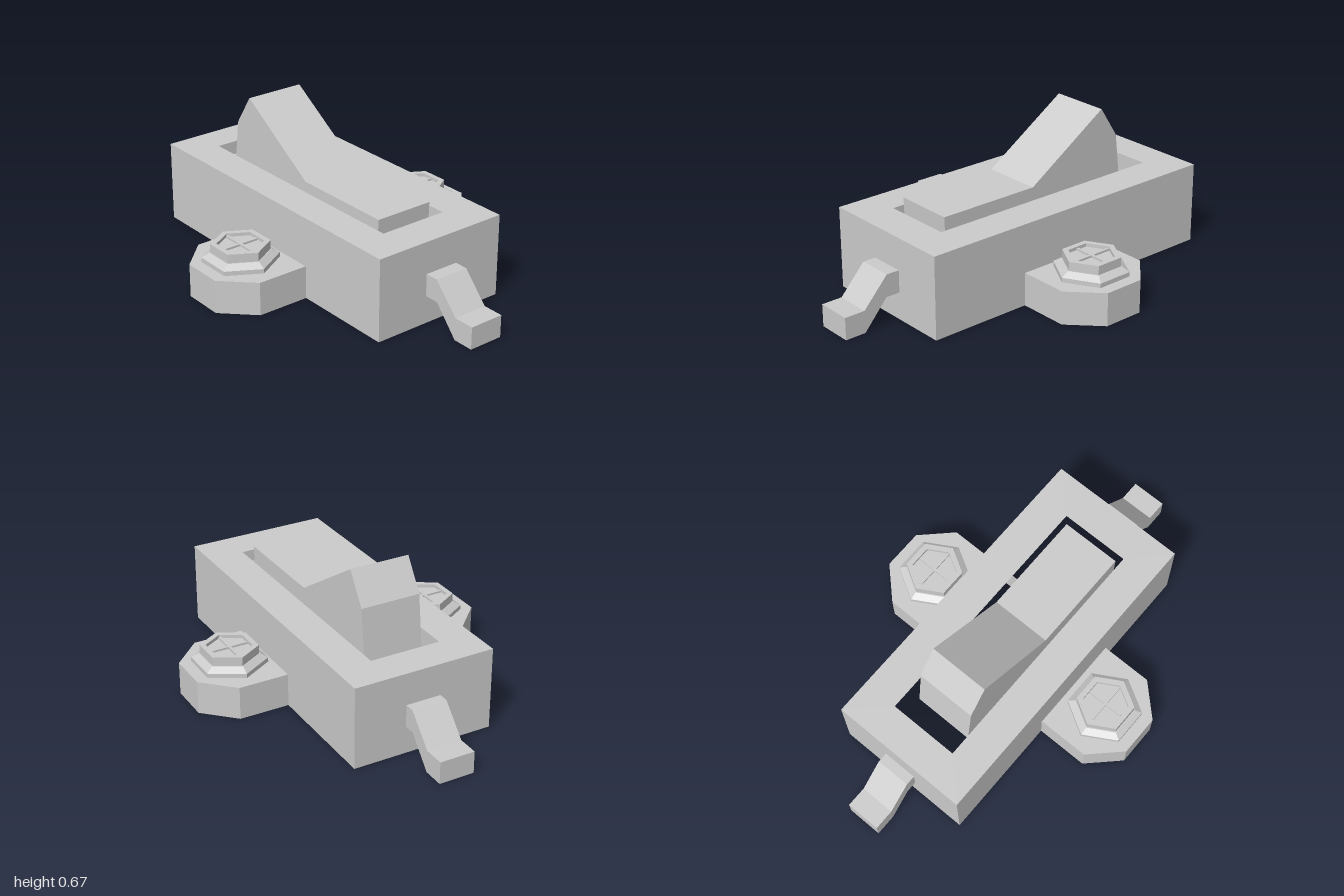
import * as THREE from 'three';

const grey = new THREE.MeshStandardMaterial({ color: 0xcccccc, flatShading: true, side: THREE.DoubleSide });

function add(parent, name, geometry) {
  const mesh = new THREE.Mesh(geometry, grey);
  mesh.name = name;
  parent.add(mesh);
  return mesh;
}

// Vertical walls standing on y = 0 along a closed outline of [x, z] points
function walls(outline, height) {
  const pos = [];
  outline.forEach(([x0, z0], i) => {
    const [x1, z1] = outline[(i + 1) % outline.length];
    pos.push(x0, 0, z0, x1, height, z1, x1, 0, z1, x0, 0, z0, x0, height, z0, x1, height, z1);
  });
  const g = new THREE.BufferGeometry();
  g.setAttribute('position', new THREE.Float32BufferAttribute(pos, 3));
  g.computeVertexNormals();
  return g;
}

// Flat sheet at a given height, with an optional hole
function sheet(outline, height, hole) {
  const flat = (pts) => pts.map(([x, z]) => new THREE.Vector2(x, -z));
  const shape = new THREE.Shape(flat(outline));
  if (hole) shape.holes.push(new THREE.Path(flat(hole)));
  return new THREE.ShapeGeometry(shape).rotateX(-Math.PI / 2).translate(0, height, 0);
}

// Side profile of [z, y] points extruded across x
function profile(points, xMin, xMax) {
  const shape = new THREE.Shape(points.map(([z, y]) => new THREE.Vector2(z, y)));
  return new THREE.ExtrudeGeometry(shape, { depth: xMax - xMin, bevelEnabled: false })
    .rotateY(-Math.PI / 2).translate(xMax, 0, 0);
}

const rect = (x0, x1, z0, z1) => [[x0, z0], [x0, z1], [x1, z1], [x1, z0]];

// Hexagonal screw with stepped flange, sunken head and cross
function createScrew() {
  const screw = new THREE.Group();
  const points = [[0.165, 0.15], [0.165, 0.17], [0.132, 0.19], [0.127, 0.19], [0.127, 0.23],
    [0.1, 0.23], [0.1, 0.215], [0, 0.215]].map(([r, y]) => new THREE.Vector2(r, y));
  add(screw, 'screwHead', new THREE.LatheGeometry(points, 6));
  add(screw, 'crossBarX', new THREE.BoxGeometry(0.17, 0.012, 0.012)).position.y = 0.218;
  add(screw, 'crossBarZ', new THREE.BoxGeometry(0.012, 0.012, 0.19)).position.y = 0.218;
  return screw;
}

export function createModel() {
  const model = new THREE.Group();
  model.name = 'rockerSwitch';

  // Hollow housing, open underneath, with a slot in the top
  const housing = new THREE.Group();
  housing.name = 'housing';
  model.add(housing);
  const body = rect(-0.318, 0.328, -0.745, 0.73);
  add(housing, 'housingWalls', walls(body, 0.37));
  add(housing, 'housingTop', sheet(body, 0.37, rect(-0.16, 0.163, -0.588, 0.565)));

  // Mounting plate whose cut-corner ends form the side lugs
  const zBack = -0.185, zFront = 0.26;
  add(model, 'mountingPlateWalls', walls([
    [-0.555, zBack], [-0.688, -0.055], [-0.688, 0.13], [-0.555, zFront],
    [0.555, zFront], [0.688, 0.13], [0.688, -0.055], [0.555, zBack],
  ], 0.15));
  for (const side of [-1, 1]) {
    add(model, side > 0 ? 'leftLugTop' : 'rightLugTop', sheet([
      [0.32, zBack], [0.32, zFront], [0.555, zFront], [0.688, 0.13], [0.688, -0.055], [0.555, zBack],
    ].map(([x, z]) => [x * side, z]), 0.15));
    const screw = createScrew();
    screw.name = side > 0 ? 'leftScrew' : 'rightScrew';
    screw.position.set(0.492 * side, 0, 0.038);
    model.add(screw);
  }

  // Rocker tilted down at the front
  add(model, 'rocker', profile([
    [0.52, 0.41], [0.04, 0.41], [-0.357, 0.67], [-0.448, 0.53],
    [-0.478, 0.28], [0.41, 0.02], [0.515, 0.25],
  ], -0.148, 0.127));

  // Bent terminals at both ends
  const terminal = [[0.72, 0.225], [0.79, 0.225], [0.905, 0.1], [1, 0.1],
    [1, 0], [0.905, 0], [0.795, 0.125], [0.72, 0.125]];
  for (const side of [1, -1]) {
    add(model, side > 0 ? 'frontTerminal' : 'backTerminal',
      profile(terminal.map(([z, y]) => [z * side, y]), -0.07, 0.09));
  }
  return model;
}
